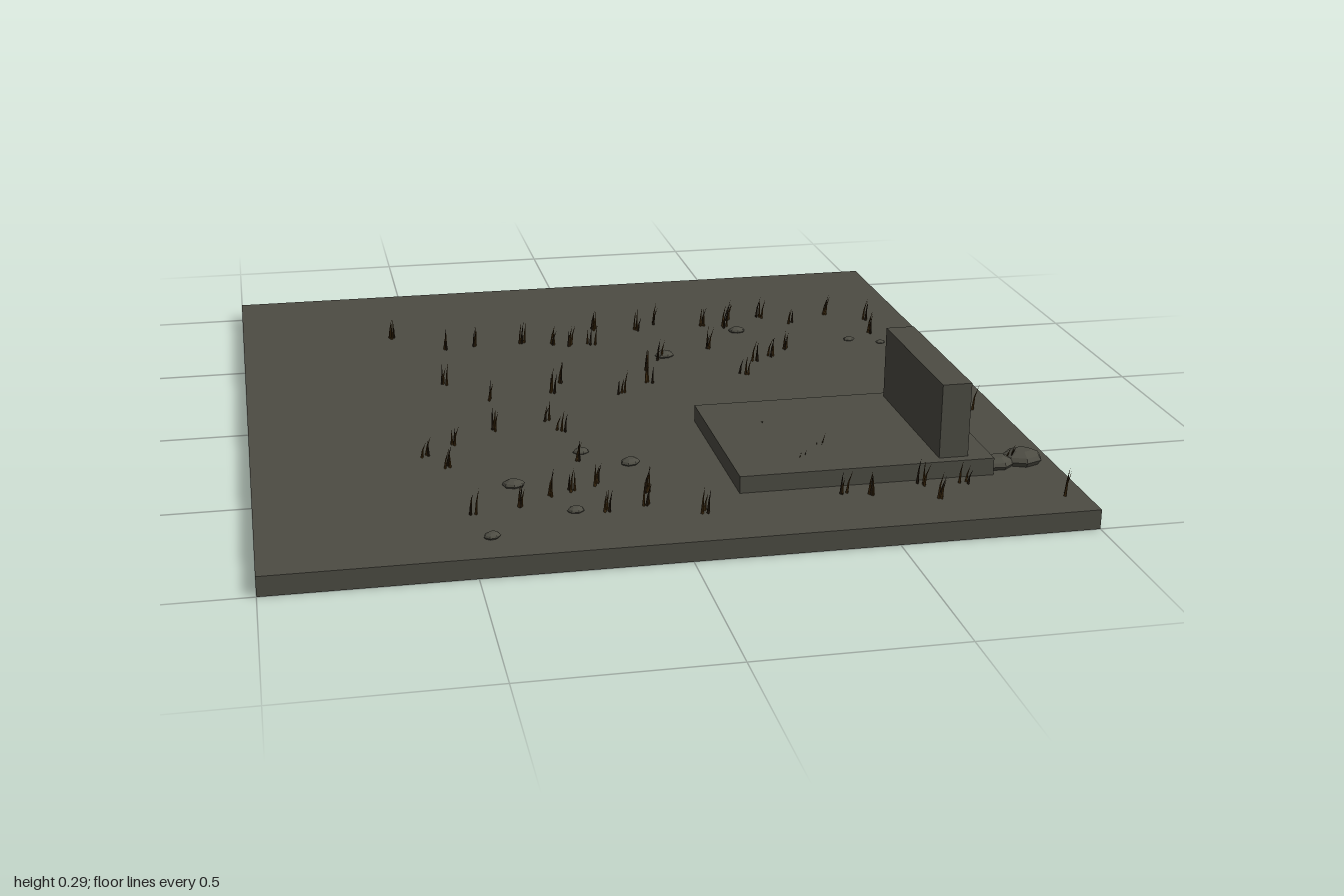
import * as THREE from 'three';
import { mergeGeometries } from 'three/addons/utils/BufferGeometryUtils.js';

const GROUND = 0.05;

// x, z of every grass tuft
const TUFTS = [
  -.56, -.58, -.42, -.45, -.33, -.47, -.19, -.47, -.05, -.42, -.11, -.44, -.45, -.15, -.35, -.01,
  -.22, .18, -.19, .26, .12, -.17, .01, -.42, .04, -.55, .16, -.52, .22, -.57, .37, -.52,
  .44, -.5, .46, -.57, .56, -.57, .64, -.5, .77, -.56, .87, -.49, .85, -.37, .45, -.19,
  .18, -.25, -.13, -.1, -.17, -.03, -.37, .22, -.48, .3, -.56, .37, -.51, .45, -.48, .75,
  -.37, .74, -.29, .68, -.23, .66, -.16, .63, -.05, .7, -.17, .79, -.07, .78, -.18, .47,
  .06, .84, .42, .8, .48, .82, .62, .78, .64, .86, .73, .79, .88, .69, .95, .9,
  .92, .3, .83, -.03, .5, -.22, .11, -.06, .02, .01, .39, -.08, .56, -.27, .34, -.32,
  .3, .4, .42, .58, .35, .65,
];

// x, z, radius of every pebble
const STONES = [
  [.92, .68, .055], [.85, .695, .046], [.88, .33, .037], [.46, -.455, .025],
  [.2, -.275, .029], [.77, -.32, .018], [.855, -.28, .014], [-.165, .415, .022],
  [-.055, .51, .027], [-.365, .6, .029], [-.24, .78, .022], [-.455, .89, .022],
];

function seeded(seed) {
  return () => (seed = (seed * 16807) % 2147483647) / 2147483647;
}

function box(name, material, size, position) {
  const mesh = new THREE.Mesh(new THREE.BoxGeometry(...size), material);
  mesh.name = name;
  mesh.position.set(...position);
  return mesh;
}

// Tapering three-sided blade, bent sideways towards the tip
function blade(x, z, height, leanX, leanZ) {
  const g = new THREE.ConeGeometry(0.0045, height, 3, 2);
  g.translate(0, height / 2, 0);
  const p = g.attributes.position;
  for (let i = 0; i < p.count; i++) {
    const t = (p.getY(i) / height) ** 2;
    p.setX(i, p.getX(i) + leanX * t);
    p.setZ(i, p.getZ(i) + leanZ * t);
  }
  g.computeVertexNormals();
  return g.translate(x, GROUND, z);
}

export function createModel() {
  const model = new THREE.Group();
  const earth = new THREE.MeshStandardMaterial({ color: 0x4d4c43 });
  earth.name = 'earth';
  const stone = new THREE.MeshStandardMaterial({ color: 0x4d4c43, flatShading: true });
  stone.name = 'stone';
  const dryGrass = new THREE.MeshStandardMaterial({ color: 0x4a3312 });
  dryGrass.name = 'dry grass';
  const darkGrass = new THREE.MeshStandardMaterial({ color: 0x2c2010 });
  darkGrass.name = 'dark grass';

  // Square of earth, barely raised away from its rim
  const groundGeometry = new THREE.BoxGeometry(2, GROUND, 2, 8, 1, 8);
  groundGeometry.translate(0, GROUND / 2, 0);
  const p = groundGeometry.attributes.position;
  for (let i = 0; i < p.count; i++) {
    const inside = Math.abs(p.getX(i)) < 0.9 && Math.abs(p.getZ(i)) < 0.9;
    if (inside && p.getY(i) > 0.01) p.setY(i, GROUND + 0.003);
  }
  groundGeometry.computeVertexNormals();
  const ground = new THREE.Mesh(groundGeometry, earth);
  ground.name = 'ground';
  model.add(ground);

  // Slab with an upright stone at one end
  model.add(box('slab', stone, [0.65, 0.09, 0.5], [0.495, 0.052, 0.5]));
  model.add(box('headstone', stone, [0.075, 0.22, 0.45], [0.7225, 0.18, 0.5]));

  // Flat-topped pebbles
  const profile = [[0.8, 0], [1, 0.25], [0.85, 0.45], [0.42, 0.65], [0, 0.65]]
    .map(([x, y]) => new THREE.Vector2(x, y));
  const pebbleGeometry = new THREE.LatheGeometry(profile, 7);
  const pebbles = new THREE.Group();
  pebbles.name = 'pebbles';
  STONES.forEach(([x, z, r], i) => {
    const pebble = new THREE.Mesh(pebbleGeometry, stone);
    pebble.name = 'pebble';
    pebble.scale.set(r, r, r * 0.82);
    pebble.position.set(x, GROUND, z);
    pebble.rotation.y = (i % 3) * 0.3;
    pebbles.add(pebble);
  });
  model.add(pebbles);

  // Grass tufts of three blades each
  const random = seeded(71);
  const blades = [[], []];
  for (let i = 0; i < TUFTS.length; i += 2) {
    for (let k = 0; k < 3; k++) {
      const x = TUFTS[i] + (random() - 0.5) * 0.022;
      const z = TUFTS[i + 1] + (random() - 0.5) * 0.022;
      const height = 0.045 + random() * 0.032;
      blades[k === 1 ? 1 : 0].push(
        blade(x, z, height, random() * 0.016 - 0.003, random() * 0.016 - 0.003));
    }
  }
  [dryGrass, darkGrass].forEach((material, i) => {
    const grass = new THREE.Mesh(mergeGeometries(blades[i]), material);
    grass.name = i ? 'darkGrassBlades' : 'dryGrassBlades';
    model.add(grass);
  });
  return model;
}
